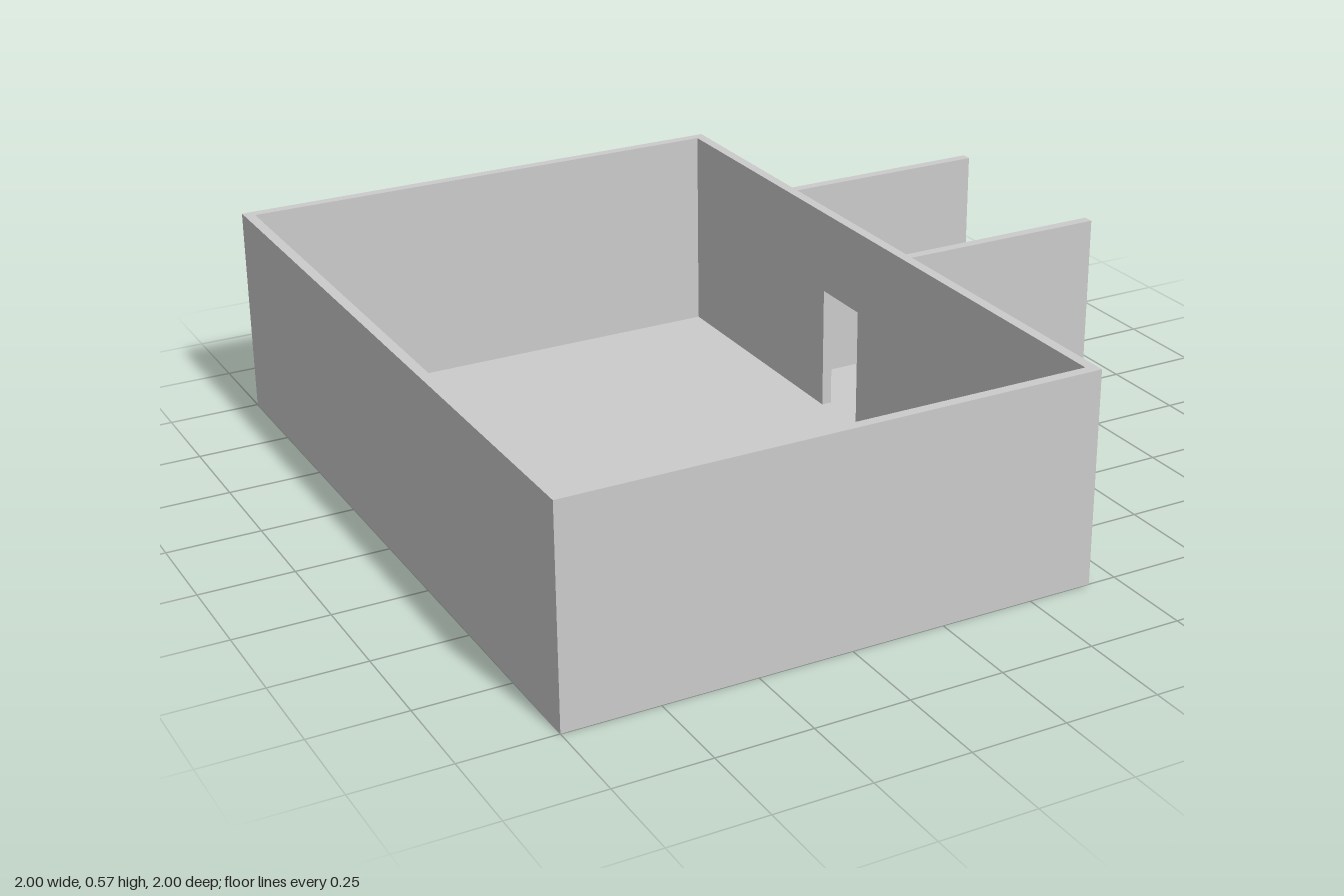
import * as THREE from 'three';

const H = 0.573, DOOR_H = 0.345, DOOR = [-0.05, -0.23];
const XO = 0.424, XI = 0.396; // outer and inner face of the wall with the doorway

const material = new THREE.MeshStandardMaterial({ color: 0xcccccc, side: THREE.DoubleSide, flatShading: true });

function add(group, name, geometry) {
  const mesh = new THREE.Mesh(geometry, material);
  mesh.name = name;
  group.add(mesh);
  return mesh;
}

// Horizontal sheet facing up, from [x, z] outlines
function sheet(group, name, y, outline, hole) {
  const toPoints = (list) => list.map(([x, z]) => new THREE.Vector2(x, -z));
  const shape = new THREE.Shape(toPoints(outline));
  if (hole) shape.holes.push(new THREE.Path(toPoints(hole)));
  add(group, name, new THREE.ShapeGeometry(shape).rotateX(-Math.PI / 2).translate(0, y, 0));
}

const rect = (x0, x1, z0, z1) => [[x0, z1], [x1, z1], [x1, z0], [x0, z0]];

// Upright wall face from a to b, facing right of a-to-b; notch = [start, end] of a doorway along it
function wallFace(group, name, a, b, height = H, notch = null) {
  const dx = b[0] - a[0], dz = b[1] - a[1], length = Math.hypot(dx, dz);
  const pts = [[0, 0]];
  if (notch) pts.push([notch[0], 0], [notch[0], DOOR_H], [notch[1], DOOR_H], [notch[1], 0]);
  pts.push([length, 0], [length, height], [0, height]);
  const shape = new THREE.Shape(pts.map(([u, v]) => new THREE.Vector2(u, v)));
  const geometry = new THREE.ShapeGeometry(shape).rotateY(Math.atan2(-dz, dx)).translate(a[0], 0, a[1]);
  add(group, name, geometry);
}

// Closed run of wall faces, with the doorway cut where a face at x = doorX crosses it
function wallLoop(group, name, loop, doorX) {
  loop.forEach((a, i) => {
    const b = loop[(i + 1) % loop.length];
    const low = Math.min(a[1], b[1]), high = Math.max(a[1], b[1]);
    const hasDoor = a[0] === doorX && b[0] === doorX && low < DOOR[1] && high > DOOR[0];
    const notch = hasDoor ? DOOR.map((z) => Math.abs(z - a[1])).sort((p, q) => p - q) : null;
    wallFace(group, name, a, b, H, notch);
  });
}

export function createModel() {
  const model = new THREE.Group();
  model.name = 'roofless building';

  // Outer outline: main room plus the two side walls of the open annex
  const outer = [
    [-1, 1], [XO, 1], [XO, 0.168], [1, 0.168], [1, 0.14], [XO, 0.14],
    [XO, -0.43], [1, -0.43], [1, -0.458], [XO, -0.458], [XO, -1], [-1, -1],
  ];
  const inner = rect(-0.972, XI, -0.972, 0.972);

  // Walls are hollow and open underneath
  const walls = new THREE.Group();
  walls.name = 'walls';
  wallLoop(walls, 'outerWall', outer, XO);
  wallLoop(walls, 'innerWall', [...inner].reverse(), XI);
  sheet(walls, 'wallTop', H, outer, inner);
  model.add(walls);

  // Doorway lining
  const doorway = new THREE.Group();
  doorway.name = 'doorway';
  wallFace(doorway, 'doorJamb', [XO, DOOR[0]], [XI, DOOR[0]], DOOR_H);
  wallFace(doorway, 'doorJamb', [XI, DOOR[1]], [XO, DOOR[1]], DOOR_H);
  sheet(doorway, 'doorHead', DOOR_H, rect(XI, XO, DOOR[1], DOOR[0]));
  sheet(doorway, 'threshold', 0, rect(XI, XO, DOOR[1], DOOR[0]));
  model.add(doorway);

  // Floors
  sheet(model, 'roomFloor', 0, inner);
  sheet(model, 'annexFloor', 0, rect(XO, 1, -0.43, 0.14));

  return model;
}
